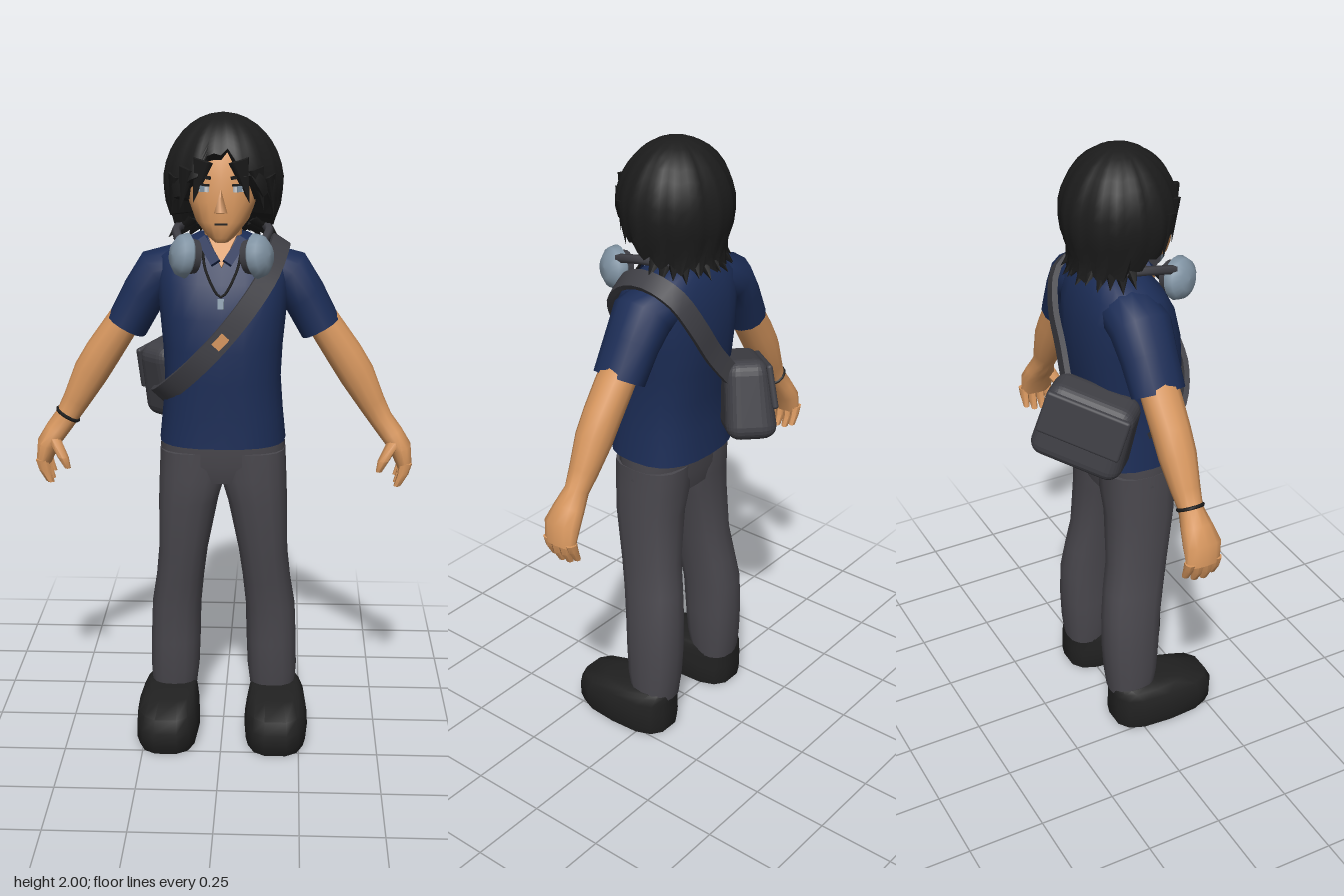
import * as THREE from 'three';
import { toCreasedNormals } from 'three/addons/utils/BufferGeometryUtils.js';
import { RoundedBoxGeometry } from 'three/addons/geometries/RoundedBoxGeometry.js';

const V = (x, y, z) => new THREE.Vector3(x, y, z);
const mat = (name, color) => {
  const m = new THREE.MeshStandardMaterial({ color });
  m.name = name;
  return m;
};

// Piecewise linear lookup through [key, value] pairs
function lookup(keys, k) {
  if (k <= keys[0][0]) return keys[0][1];
  for (let i = 1; i < keys.length; i++) {
    const [a, va] = keys[i - 1], [b, vb] = keys[i];
    if (k <= b) return va + (vb - va) * (k - a) / (b - a);
  }
  return keys[keys.length - 1][1];
}

// Closed skin over rings of points, with a fan at each end
function skin(rings, crease = 0.9) {
  const n = rings[0].length, pos = [], idx = [];
  rings.forEach(r => r.forEach(p => pos.push(p.x, p.y, p.z)));
  for (let i = 0; i < rings.length - 1; i++) for (let j = 0; j < n; j++) {
    const a = i * n + j, b = i * n + (j + 1) % n;
    idx.push(a, a + n, b, b, a + n, b + n);
  }
  [0, rings.length - 1].forEach((i, end) => {
    const c = V(0, 0, 0);
    rings[i].forEach(p => c.addScaledVector(p, 1 / n));
    const k = pos.length / 3;
    pos.push(c.x, c.y, c.z);
    for (let j = 0; j < n; j++) {
      const a = i * n + j, b = i * n + (j + 1) % n;
      end ? idx.push(k, b, a) : idx.push(k, a, b);
    }
  });
  const g = new THREE.BufferGeometry();
  g.setAttribute('position', new THREE.Float32BufferAttribute(pos, 3));
  g.setIndex(idx);
  return toCreasedNormals(g, crease);
}

// Rows run upward: [x, y, z, half width, half depth, tilt in the xy plane]
function loft(rows, n = 16, power = 2, side = 1) {
  const sq = c => Math.sign(c) * Math.pow(Math.abs(c), 2 / power);
  return skin(rows.map(([x, y, z, ru, rv, a = 0]) => Array.from({ length: n }, (_, j) => {
    const t = j / n * Math.PI * 2, u = ru * sq(Math.cos(t)), v = rv * sq(Math.sin(t));
    return V(side * x + u * Math.cos(a), y + u * Math.sin(a) * side, z + v);
  })));
}
// Row from extents: y, inner x, outer x, front z, back z
const row = (y, x0, x1, zf, zb) => [(x0 + x1) / 2, y, (zf + zb) / 2, (x1 - x0) / 2, (zf - zb) / 2];

export function createModel() {
  const skinTone = mat('skin', 0xd6965e), hairBlack = mat('hairBlack', 0x1c1c1c);
  const navy = mat('navy', 0x1c2d56), charcoal = mat('charcoal', 0x4a484e);
  const shoeBlack = mat('shoeBlack', 0x212121), bagGrey = mat('bagGrey', 0x3f3f45);
  const steel = mat('steel', 0x8295a5), eyeWhite = mat('eyeWhite', 0xd5d8dc);
  hairBlack.side = THREE.DoubleSide;
  const model = new THREE.Group();
  const add = (name, geo, m, p = [0, 0, 0], r = [0, 0, 0]) => {
    const mesh = new THREE.Mesh(geo, m);
    mesh.name = name;
    mesh.position.set(...p);
    mesh.rotation.set(...r);
    model.add(mesh);
    return mesh;
  };
  const box = (x, y, z) => new THREE.BoxGeometry(x, y, z);
  const tube = (pts, r, n = 24) =>
    new THREE.TubeGeometry(new THREE.CatmullRomCurve3(pts.map(p => V(...p))), n, r, 6);

  // Shirt body
  add('shirt', loft([
    [1.0, .197, .213, -.11], [1.1, .187, .21, -.1], [1.2, .18, .213, -.1], [1.3, .185, .213, -.115],
    [1.4, .195, .203, -.122], [1.5, .203, .175, -.118], [1.57, .195, .135, -.1],
    [1.61, .13, .1, -.08], [1.635, .08, .085, -.055],
  ].map(([y, w, f, b]) => row(y, -w, w, f, b)), 24, 2.6), navy);

  // Hips joining both trouser legs
  add('hips', loft([row(.87, -.19, .19, .15, -.055), row(.93, -.199, .199, .168, -.068),
    row(1.03, -.192, .192, .17, -.075)], 20, 2.7), charcoal);

  for (const s of [1, -1]) {
    const label = s > 0 ? 'left' : 'right';
    add(label + 'Sleeve', loft([[.302, 1.343, .005, .066, .084, .51], [.25, 1.44, 0, .07, .088, .65],
      [.2, 1.51, 0, .08, .096, .9], [.12, 1.53, 0, .075, .09, 1.3]], 14, 2.2, s), navy);

    // Arm continues into the palm
    add(label + 'Arm', loft([[.575, .9, .012, .024, .056, .2], [.56, .96, .015, .035, .062, .35],
      [.53, 1.005, .012, .037, .05, .5], [.497, 1.05, .01, .037, .036, .55],
      [.468, 1.1, .008, .043, .044, .57], [.42, 1.19, .006, .056, .056, .57],
      [.38, 1.255, .005, .057, .058, .57], [.33, 1.33, .003, .054, .06, .55],
      [.27, 1.42, 0, .05, .06, .6]], 12, 2.2, s), skinTone);
    [-.034, -.004, .027, .055].forEach((z, i) => {
      const drop = [.02, .004, 0, .012][i];
      add(label + 'Finger' + (i + 1), loft([[.553, .832 + drop, z, .011, .011], [.569, .868 + drop, z, .017, .015],
        [.577, .915, z, .02, .016]], 7, 2, s), skinTone);
    });
    add(label + 'Thumb', loft([[.492, .893, .074, .01, .011], [.505, .93, .078, .018, .017],
      [.54, .985, .045, .022, .025]], 8, 2, s), skinTone);

    add(label + 'TrouserLeg', loft([[.12, .09, .235, .07, -.08], [.2, .08, .24, .085, -.09],
      [.3, .076, .238, .093, -.096], [.42, .073, .233, .1, -.095], [.52, .063, .217, .118, -.083],
      [.62, .05, .207, .135, -.066], [.8, .014, .204, .163, -.06], [.88, -.01, .201, .168, -.066],
      [.97, -.01, .197, .17, -.072]].map(r => row(...r)), 16, 2.5, s), charcoal);

    // Chunky shoe with a blunt toe
    add(label + 'Shoe', loft([[0, .08, .27, .275, -.075], [.03, .073, .278, .288, -.08],
      [.075, .074, .277, .29, -.08], [.115, .08, .27, .27, -.08], [.14, .088, .255, .18, -.08],
      [.152, .095, .24, .11, -.075]].map(r => row(...r)), 14, 2.9, s), shoeBlack);

    // Eyes and brows
    const yaw = s * .48;
    add(label + 'Eye', box(.044, .018, .008), eyeWhite, [s * .057, 1.79, .182], [0, yaw, 0]);
    add(label + 'Iris', box(.017, .018, .009), steel, [s * .054, 1.79, .185], [0, yaw, 0]);
    add(label + 'Lash', box(.05, .006, .009), hairBlack, [s * .057, 1.801, .182], [0, yaw, 0]);
    add(label + 'Brow', box(.055, .009, .009), hairBlack, [s * .055, 1.825, .181], [0, yaw, s * .12]);

    // Headphone cup: steel shell outside, dark pad inside
    const cup = new THREE.Group();
    cup.name = label + 'HeadphoneCup';
    const shell = new THREE.Mesh(new THREE.LatheGeometry([[0, .038], [.035, .034], [.06, .016], [.068, -.008], [.055, -.018]]
      .reverse().map(p => new THREE.Vector2(...p)), 18), steel);
    const pad = new THREE.Mesh(new THREE.CylinderGeometry(.055, .05, .024, 18), bagGrey);
    shell.name = 'cupShell';
    pad.name = 'earPad';
    pad.position.y = -.028;
    cup.add(shell, pad);
    cup.position.set(s * .112, 1.592, .18);
    cup.rotation.set(0, -s * .4, -s * 1.42);
    model.add(cup);

    // Shirt collar flap
    add(label + 'Collar', box(.03, .1, .012), navy, [s * .04, 1.598, .13], [-.6, s * .3, -s * .5]);
  }

  // Neck and open collar
  add('neck', loft([row(1.53, -.07, .07, .1, -.05), row(1.62, -.056, .056, .1, -.03),
    row(1.7, -.06, .06, .1, -.035)], 14), skinTone);
  const vee = new THREE.Shape([[-.045, .06], [0, -.05], [.045, .06]].map(p => new THREE.Vector2(...p)));
  add('collarOpening', new THREE.ExtrudeGeometry(vee, { depth: .008, bevelEnabled: false }), skinTone,
    [0, 1.59, .126], [-.6, 0, 0]);

  // Head
  add('head', loft([[1.63, .022, .182, .1], [1.645, .042, .192, .06], [1.69, .08, .196, 0],
    [1.75, .104, .195, -.05], [1.82, .113, .187, -.08], [1.9, .1, .163, -.08], [1.96, .06, .11, -.04]]
    .map(([y, w, f, b]) => row(y, -w, w, f, b)), 20, 2.4), skinTone);
  const nose = add('nose', new THREE.ConeGeometry(.02, .07, 4), skinTone, [0, 1.755, .197], [-.2, 0, 0]);
  nose.scale.z = .9;
  add('mouth', box(.038, .005, .008), hairBlack, [0, 1.687, .193]);

  // Hair shell: the lower edge rises over the face and hangs at the nape
  const edge = [[-1, 1.63], [-.2, 1.66], [.3, 1.7], [.55, 1.75], [.8, 1.79], [.93, 1.84], [1, 1.9]];
  const swell = [[1.6, .9], [1.67, .83], [1.73, .95], [1.8, 1]];
  const N = 48, hairRings = [];
  for (let i = 0; i <= 11; i++) hairRings.push(Array.from({ length: N }, (_, j) => {
    const t = j / N * Math.PI * 2, k = i / 11.3;
    const yb = lookup(edge, Math.sin(t)) + (j % 3 - 1) * .013;
    const y = yb + (2 - yb) * Math.sin(k * Math.PI / 2);
    const dome = y > 1.79 ? Math.sqrt(Math.max(0, 1 - ((y - 1.79) / .21) ** 2)) : lookup(swell, y);
    const r = dome * (1 + .022 * Math.sin(t * 16) + .015 * Math.sin(t * 7 + 1));
    return V(.18 * r * Math.cos(t), y, .03 + .176 * r * Math.sin(t));
  }));
  add('hair', skin(hairRings, .7), hairBlack);

  // Flicked locks around the nape and beside the jaw
  for (let i = 0; i < 13; i++) {
    const a = Math.PI / 2 + (i + .5) / 13 * Math.PI, b = i === 0 || i === 12 ? 0 : .012 * (i % 2);
    const g = new THREE.ConeGeometry(.034, .1, 5);
    g.rotateX(Math.PI - .75);
    add('hairLock' + (i + 1), g, hairBlack,
      [.137 * Math.sin(a), 1.655 - b, .02 + .125 * Math.cos(a)], [0, a, 0]);
  }
  // Swept fringe locks on both sides of the parting
  for (const s of [1, -1]) for (let i = 0; i < 3; i++) {
    const a = s * (.42 + i * .32), g = new THREE.ConeGeometry(.035, .13, 5);
    g.rotateX(Math.PI).scale(1, 1, .45).rotateZ(s * .25);
    add('fringeLock', g, hairBlack, [.168 * Math.sin(a), 1.81 - i * .025, .03 + .165 * Math.cos(a)], [0, a, 0]);
  }

  // Headphone band behind the neck
  add('headphoneBand', tube([[.125, 1.63, .16], [.14, 1.655, .06], [.1, 1.655, -.05], [0, 1.655, -.09],
    [-.1, 1.655, -.05], [-.14, 1.655, .06], [-.125, 1.63, .16]], .014), bagGrey);

  // Necklace, pendant and wristband
  add('necklace', tube([[.06, 1.61, .115], [.045, 1.54, .168], [0, 1.47, .197], [-.045, 1.54, .168],
    [-.06, 1.61, .115]], .004), hairBlack);
  add('pendant', box(.018, .032, .01), steel, [0, 1.45, .203], [-.25, 0, 0]);
  const band = new THREE.TorusGeometry(.038, .006, 6, 16);
  band.rotateX(Math.PI / 2);
  add('wristband', band, hairBlack, [-.495, 1.053, .01], [0, 0, -.55]);

  // Shoulder strap: a flat band around the torso
  const path = new THREE.CatmullRomCurve3([[-.2, 1.13, .04], [-.17, 1.165, .15], [-.08, 1.255, .217],
    [0, 1.34, .22], [.08, 1.44, .203], [.14, 1.53, .158], [.168, 1.593, .085], [.175, 1.612, 0],
    [.16, 1.575, -.095], [.11, 1.48, -.135], [.04, 1.37, -.145], [-.03, 1.28, -.16]].map(p => V(...p)));
  const heart = V(0, 1.35, .045);
  const strapRings = path.getSpacedPoints(36).map((p, i) => {
    const t = path.getTangentAt(i / 36), n = p.clone().sub(heart);
    n.addScaledVector(t, -n.dot(t)).normalize();
    const b = t.clone().cross(n);
    return [[1, 1], [-1, 1], [-1, -1], [1, -1]].map(([u, v]) =>
      p.clone().addScaledVector(b, u * .031).addScaledVector(n, v * .009));
  });
  add('strap', skin(strapRings, .6), bagGrey);
  add('strapBuckle', box(.03, .045, .012), skinTone, [0, 1.34, .23], [0, 0, -.75]);

  // Bag resting on the right hip at the back, its outer side bulging
  const bag = new THREE.Group();
  bag.name = 'bag';
  const bodyGeo = new RoundedBoxGeometry(.29, .25, .15, 3, .045), bp = bodyGeo.attributes.position;
  for (let i = 0; i < bp.count; i++) {
    const y = bp.getY(i);
    bp.setX(i, bp.getX(i) * (1 - y * .35));
    if (bp.getZ(i) > 0) bp.setZ(i, bp.getZ(i) * (1 - y * 1.6));
  }
  bodyGeo.computeVertexNormals();
  const body = new THREE.Mesh(bodyGeo, bagGrey);
  body.name = 'bagBody';
  const flap = new THREE.Mesh(new RoundedBoxGeometry(.27, .14, .02, 2, .009), bagGrey);
  flap.name = 'bagFlap';
  flap.position.set(0, .04, .07);
  flap.rotation.x = -.13;
  bag.add(body, flap);
  bag.position.set(-.125, 1.175, -.14);
  bag.rotation.set(0, -Math.PI * .75, -.26);
  model.add(bag);

  return model;
}
